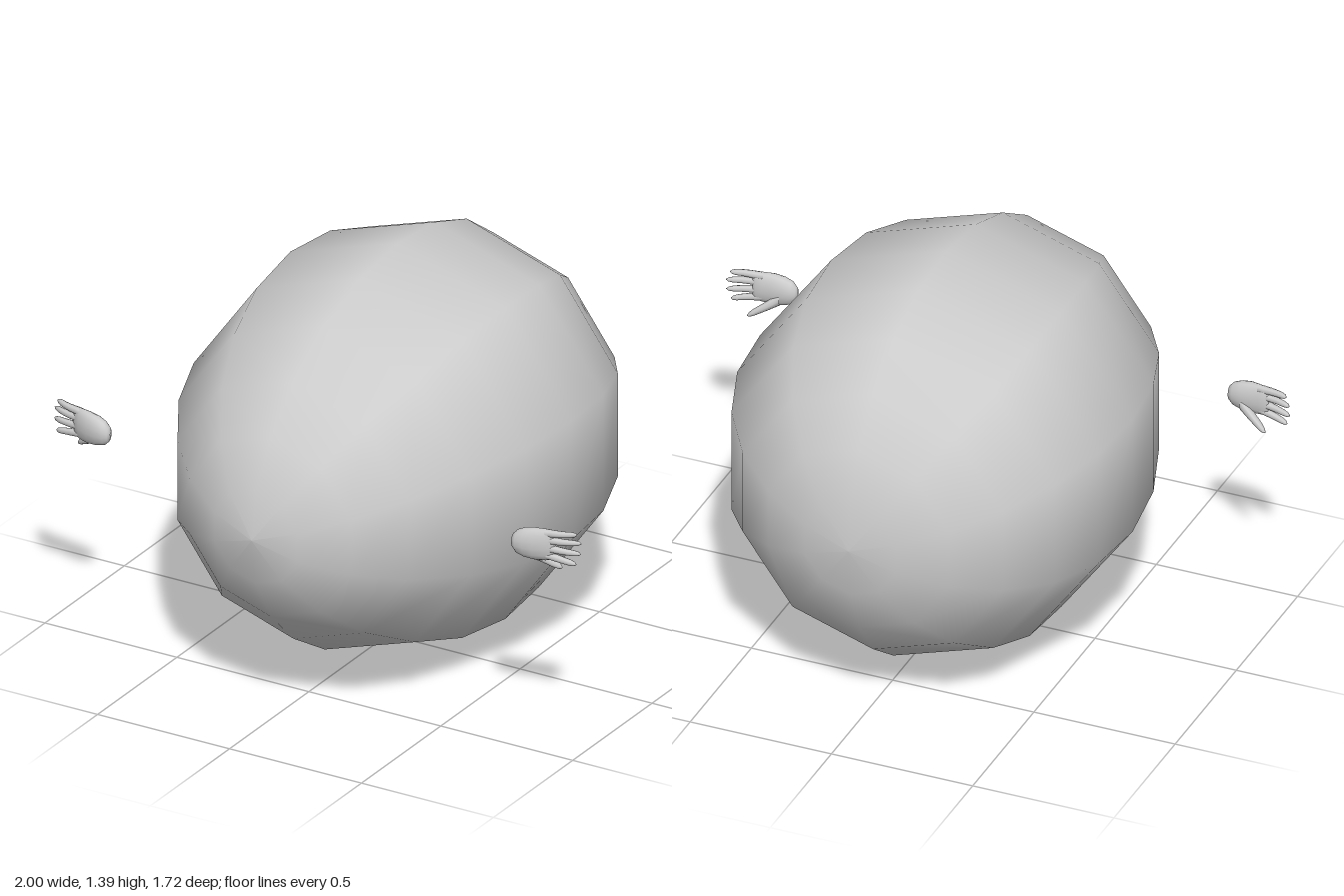
import * as THREE from 'three';

const skin = new THREE.MeshStandardMaterial({ color: 0xcccccc });
skin.name = 'light grey';

// Smooth closed loft along x; each section is [x, y, z, half height, half depth].
// side = -1 mirrors it across x = 0.
function loft(sections, side, sides = 10) {
  const pos = [], index = [];
  for (const [x, y, z, ry, rz] of sections) {
    for (let j = 0; j < sides; j++) {
      const a = (j / sides) * Math.PI * 2;
      pos.push(side * x, y + ry * Math.cos(a), z + rz * Math.sin(a));
    }
  }
  const quad = (a, b, c, d) =>
    side > 0 ? index.push(a, b, c, b, d, c) : index.push(a, c, b, b, c, d);
  for (let i = 0; i < sections.length - 1; i++) {
    for (let j = 0; j < sides; j++) {
      const k = (j + 1) % sides;
      quad(i * sides + j, i * sides + k, (i + 1) * sides + j, (i + 1) * sides + k);
    }
  }
  const g = new THREE.BufferGeometry();
  g.setAttribute('position', new THREE.Float32BufferAttribute(pos, 3));
  g.setIndex(index);
  g.computeVertexNormals();
  return g;
}

// Rounded finger along a gentle curve from knuckle to tip
function finger(start, mid, end, r0, r1, side) {
  const curve = new THREE.CatmullRomCurve3([start, mid, end].map(p => new THREE.Vector3(...p)));
  const rings = [];
  for (const t of [0, 0.2, 0.4, 0.6, 0.8, 0.93, 1]) {
    const p = curve.getPoint(t);
    const tip = t === 1 ? 0.1 : t > 0.9 ? 0.75 : 1;
    const r = (r0 + (r1 - r0) * t) * tip;
    rings.push([p.x, p.y, p.z, r, r]);
  }
  return loft(rings, side, 8);
}

function createHand(side, name) {
  const hand = new THREE.Group();
  hand.name = name;
  const add = (geometry, part) => {
    const m = new THREE.Mesh(geometry, skin);
    m.name = part;
    hand.add(m);
  };

  // Palm, from the rounded wrist to the knuckles
  add(loft([
    [0.763, 0.732, 0.484, 0.003, 0.002],
    [0.767, 0.732, 0.484, 0.026, 0.017],
    [0.782, 0.733, 0.484, 0.042, 0.025],
    [0.81, 0.735, 0.482, 0.053, 0.028],
    [0.845, 0.737, 0.479, 0.058, 0.026],
    [0.88, 0.739, 0.473, 0.057, 0.02],
    [0.9, 0.741, 0.467, 0.053, 0.015],
    [0.912, 0.742, 0.464, 0.042, 0.006],
    [0.914, 0.742, 0.464, 0.003, 0.001],
  ], side, 14), 'palm');

  // Four fingers, top to bottom: knuckle height, tip x, tip height, tip z
  [
    [0.78, 0.985, 0.787, 0.446],
    [0.756, 0.998, 0.757, 0.441],
    [0.729, 0.998, 0.72, 0.444],
    [0.704, 0.985, 0.683, 0.452],
  ].forEach(([y, tx, ty, tz], i) => {
    add(finger([0.875, y, 0.472], [0.935, (y + ty) / 2, 0.463], [tx, ty, tz], 0.0145, 0.0095, side),
      'finger' + (i + 1));
  });

  // Thumb, reaching down and back
  add(finger([0.815, 0.71, 0.474], [0.865, 0.678, 0.45], [0.918, 0.646, 0.428], 0.024, 0.011, side), 'thumb');
  return hand;
}

export function createModel() {
  const model = new THREE.Group();
  model.name = 'eggWithHands';

  // Ten-sided egg body, turned about the z axis: [radius, z]
  const profile = [
    [0, -0.862], [0.17, -0.847], [0.337, -0.777], [0.485, -0.66], [0.602, -0.495],
    [0.673, -0.293], [0.693, -0.06], [0.661, 0.18], [0.582, 0.4], [0.462, 0.597],
    [0.322, 0.742], [0.164, 0.835], [0, 0.862],
  ].map(p => new THREE.Vector2(...p));
  const body = new THREE.Mesh(new THREE.LatheGeometry(profile, 10).rotateX(Math.PI / 2), skin);
  body.name = 'body';
  body.position.y = 0.695;
  model.add(body);

  model.add(createHand(1, 'leftHand'), createHand(-1, 'rightHand'));
  return model;
}
